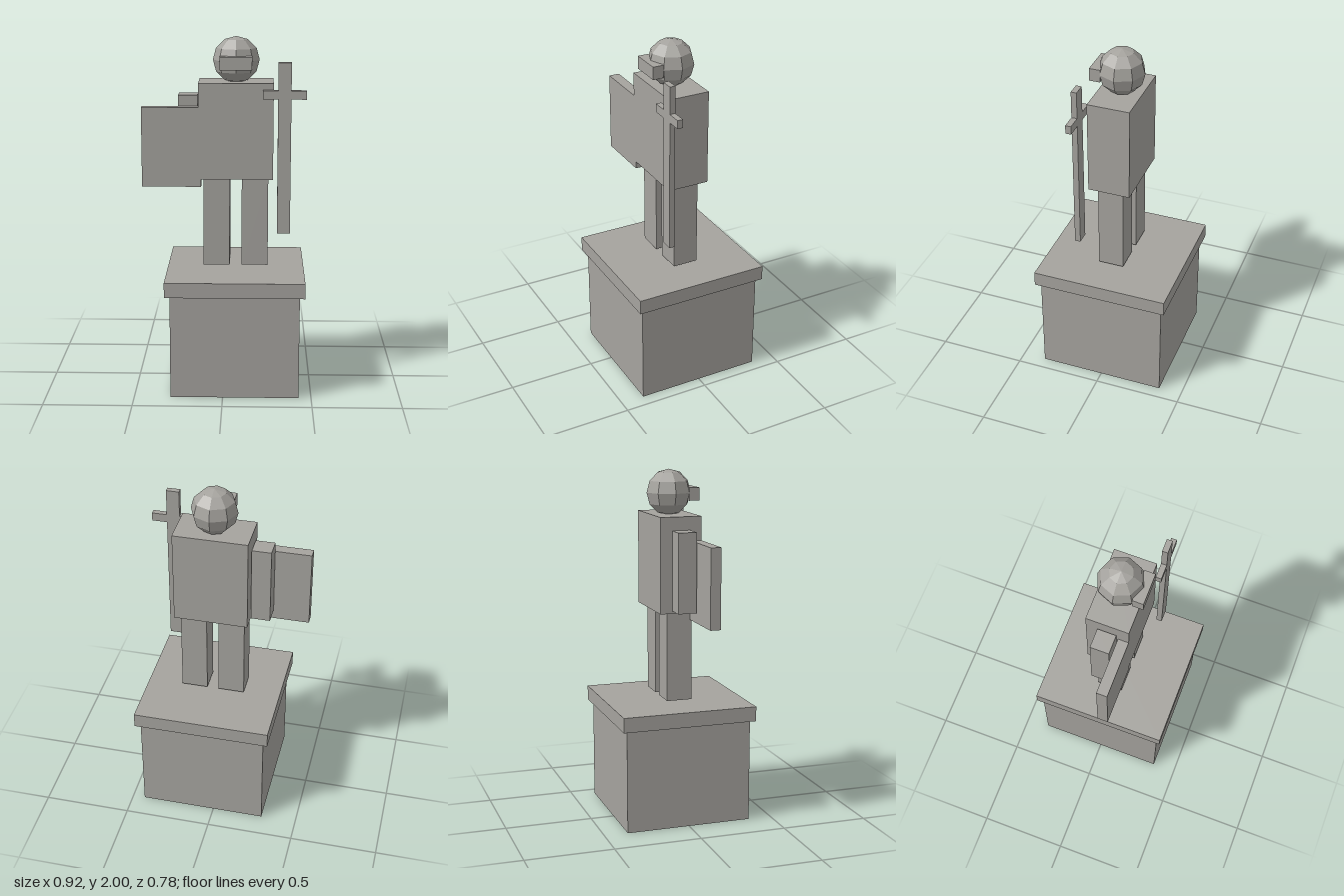
import * as THREE from 'three';

export function createModel() {
  const model = new THREE.Group();
  model.name = 'guardStatue';

  const stone = new THREE.MeshStandardMaterial({ color: 0xa5a39e });
  stone.name = 'grey stone';

  const add = (name, geometry, x, y, z, parent = model) => {
    const mesh = new THREE.Mesh(geometry, stone);
    mesh.name = name;
    mesh.position.set(x, y, z);
    parent.add(mesh);
    return mesh;
  };
  // Box given by its extents along each axis
  const block = (name, [x0, x1], [y0, y1], [z0, z1], parent) =>
    add(name, new THREE.BoxGeometry(x1 - x0, y1 - y0, z1 - z0),
      (x0 + x1) / 2, (y0 + y1) / 2, (z0 + z1) / 2, parent);

  const cx = 0.067; // centre line of figure and pedestal

  // Pedestal
  block('pedestalBase', [cx - 0.362, cx + 0.362], [0, 0.593], [-0.365, 0.365]);
  block('pedestalSlab', [cx - 0.391, cx + 0.391], [0.593, 0.678], [-0.391, 0.391]);

  // Legs hover slightly above the slab
  for (const [name, side] of [['rightLeg', -1], ['leftLeg', 1]]) {
    const x = cx + side * 0.109;
    block(name, [x - 0.075, x + 0.075], [0.698, 1.208], [-0.073, 0.073]);
  }

  // Body and shield arm
  block('torso', [cx - 0.21, cx + 0.21], [1.208, 1.75], [-0.12, 0.12]);
  block('rightArm', [-0.258, -0.149], [1.225, 1.675], [-0.053, 0.053]);

  // Faceted head with visor
  const head = new THREE.SphereGeometry(0.131, 8, 6).toNonIndexed();
  head.computeVertexNormals();
  add('head', head, cx, 1.869, -0.002);
  block('visor', [cx - 0.09, cx + 0.09], [1.825, 1.898], [0.09, 0.152]);

  // Shield, flush with the chest
  block('shield', [-0.461, -0.128], [1.165, 1.615], [0.06, 0.12]);

  // Sword
  const sword = new THREE.Group();
  sword.name = 'sword';
  model.add(sword);
  const depth = [0.135, 0.167];
  block('blade', [0.301, 0.374], [0.91, 1.87], depth, sword);
  block('crossguard', [0.217, 0.459], [1.668, 1.716], depth, sword);

  return model;
}
